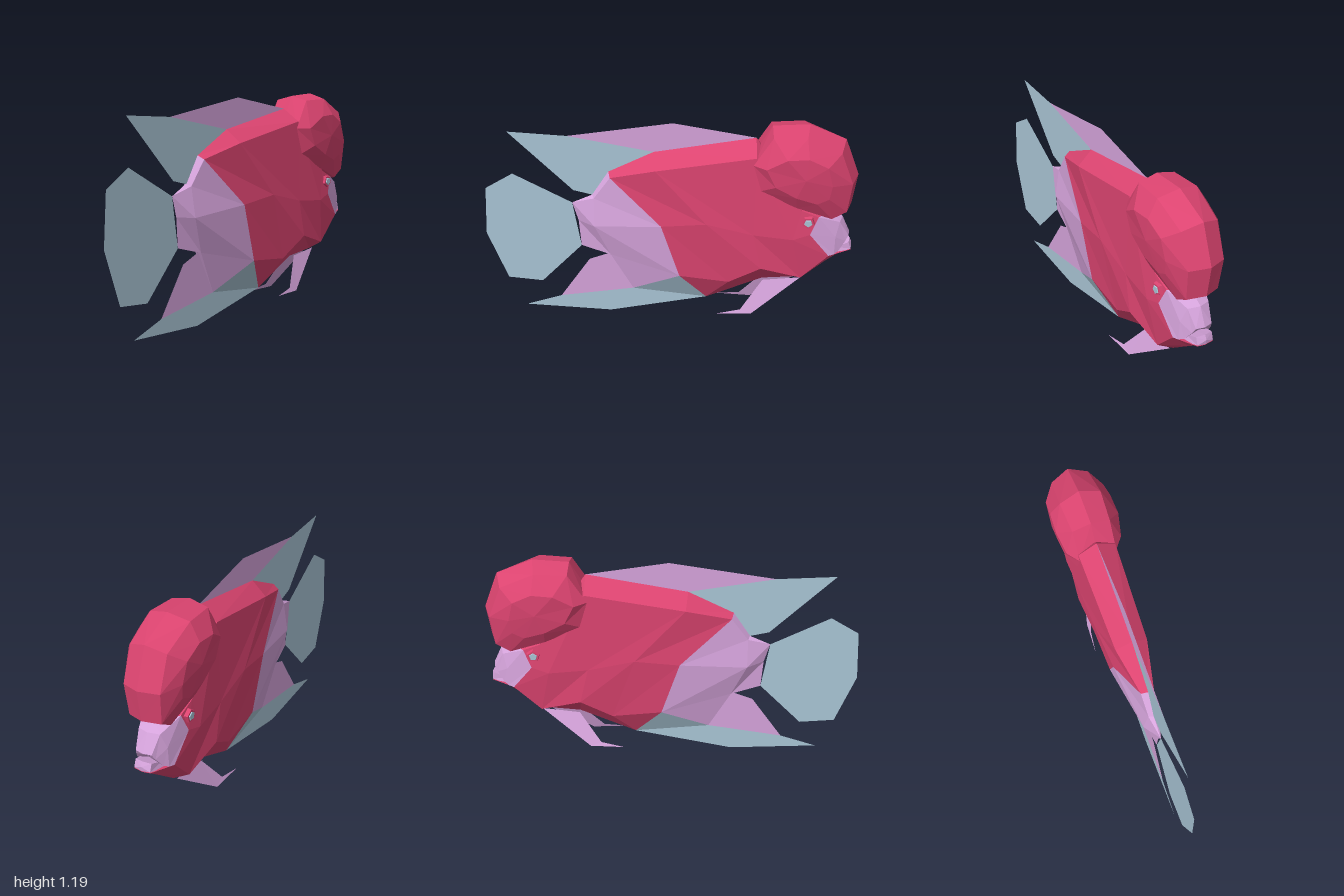
import * as THREE from 'three';

const mat = (name, color, side = THREE.DoubleSide) => {
  const m = new THREE.MeshStandardMaterial({ color, side, flatShading: true });
  m.name = name;
  return m;
};

// Skins neighbouring rows of points on the +z half and mirrors them to -z
function skin(name, rows, material) {
  const pos = [];
  const tri = (a, b, c) => {
    const [A, B, C] = [a, b, c].map(p => new THREE.Vector3(...p));
    if (B.clone().sub(A).cross(C.clone().sub(A)).length() < 1e-6) return;
    pos.push(...a, ...b, ...c);
    for (const p of [a, c, b]) pos.push(p[0], p[1], -p[2]);
  };
  for (let i = 0; i < rows.length - 1; i++) {
    const r = rows[i], s = rows[i + 1];
    for (let j = 0; j < r.length - 1; j++) {
      tri(r[j], r[j + 1], s[j + 1]);
      tri(r[j], s[j + 1], s[j]);
    }
  }
  const g = new THREE.BufferGeometry();
  g.setAttribute('position', new THREE.Float32BufferAttribute(pos, 3));
  g.computeVertexNormals();
  const mesh = new THREE.Mesh(g, material);
  mesh.name = name;
  return mesh;
}

// Flat fin in the plane z = 0
function fin(name, outline, material) {
  const shape = new THREE.Shape(outline.map(p => new THREE.Vector2(...p)));
  const mesh = new THREE.Mesh(new THREE.ShapeGeometry(shape), material);
  mesh.name = name;
  return mesh;
}

export function createModel() {
  const model = new THREE.Group();
  model.name = 'fish';
  const red = mat('crimson', 0xdc4470);
  const lilac = mat('lilac', 0xd6a4dc);
  const blue = mat('pale blue', 0xaac6d6);

  // Body: slanted half sections from the tail boundary to the face
  const rear = [[-0.32, 0.9, 0], [-0.31, 0.88, 0.035], [-0.04, 0.62, 0.09], [0.06, 0.3, 0.08], [0.21, 0.11, 0]];
  const face = [[0.87, 0.69, 0], [0.79, 0.7, 0.1], [0.75, 0.6, 0.115], [0.86, 0.46, 0.1], [0.86, 0.365, 0]];
  model.add(skin('body', [
    rear,
    [[-0.08, 1.02, 0], [-0.07, 0.95, 0.085], [0.2, 0.65, 0.11], [0.33, 0.27, 0.085], [0.21, 0.11, 0]],
    [[0.45, 1.11, 0], [0.45, 1.04, 0.1], [0.45, 0.59, 0.113], [0.5, 0.38, 0.115], [0.52, 0.245, 0]],
    [[0.66, 0.8, 0], [0.7, 0.74, 0.105], [0.66, 0.57, 0.122], [0.72, 0.31, 0.09], [0.73, 0.26, 0]],
    face,
  ], red));

  // Tail stalk narrows to an edge
  model.add(skin('tailStalk', [
    [[-0.52, 0.71, 0], [-0.52, 0.71, 0], [-0.49, 0.6, 0], [-0.48, 0.44, 0], [-0.48, 0.44, 0]],
    [[-0.41, 0.76, 0], [-0.4, 0.75, 0.025], [-0.4, 0.59, 0.05], [-0.32, 0.395, 0.02], [-0.32, 0.395, 0]],
    [...rear.slice(0, 4), [-0.2, 0.16, 0]],
  ], lilac));
  model.add(skin('analFinRoot', [[rear[3], [-0.2, 0.16, 0]], [rear[3], rear[4]]], blue));

  // Forehead hump: loops growing from the side centre to the middle ridge
  const loops = [
    Array(9).fill([0.7, 0.95, 0.168]),
    [[0.5, 1, 0.15], [0.6, 1.065, 0.17], [0.71, 1.07, 0.165], [0.81, 1.02, 0.16], [0.84, 0.91, 0.15],
      [0.83, 0.83, 0.14], [0.77, 0.8, 0.14], [0.66, 0.84, 0.152], [0.55, 0.9, 0.15]],
    [[0.435, 1, 0.1], [0.53, 1.155, 0.1], [0.7, 1.16, 0.11], [0.88, 1.075, 0.1], [0.95, 0.9, 0.1],
      [0.935, 0.73, 0.09], [0.86, 0.685, 0.09], [0.67, 0.76, 0.11], [0.47, 0.85, 0.1]],
    [[0.43, 1, 0], [0.53, 1.18, 0], [0.72, 1.19, 0], [0.91, 1.11, 0], [0.99, 0.91, 0],
      [0.97, 0.74, 0], [0.87, 0.67, 0], [0.66, 0.74, 0], [0.47, 0.84, 0]],
  ];
  model.add(skin('foreheadHump', loops.map(l => [...l, l[0]]), red));

  // Snout with upper lip
  const lip = [[0.975, 0.56, 0], [0.965, 0.56, 0.045], [0.95, 0.53, 0.055], [0.915, 0.48, 0.075], [0.92, 0.51, 0]];
  model.add(skin('snout', [
    [...face.slice(0, 4), [0.86, 0.47, 0]],
    [[0.93, 0.655, 0], [0.91, 0.65, 0.06], [0.89, 0.57, 0.085], [0.89, 0.465, 0.09], [0.9, 0.5, 0]],
    lip,
    Array(5).fill([0.945, 0.535, 0]),
  ], lilac));

  // Lower jaw and lip
  model.add(skin('lowerJaw', [
    [[0.86, 0.46, 0], face[3], face[4]],
    [[0.98, 0.475, 0], [0.985, 0.47, 0.045], [0.985, 0.462, 0]],
  ], red));
  model.add(skin('lowerLip', [
    [[0.9, 0.49, 0], [0.9, 0.49, 0.055], [0.9, 0.455, 0.065], [0.9, 0.45, 0]],
    [[0.98, 0.52, 0], [0.97, 0.515, 0.045], [0.985, 0.475, 0.045], [0.99, 0.47, 0]],
    Array(4).fill([0.992, 0.495, 0]),
  ], lilac));

  // Eyes: pentagonal socket with a pale iris
  for (const s of [1, -1]) {
    const eye = new THREE.Group();
    eye.name = s > 0 ? 'frontEye' : 'backEye';
    [['eyeSocket', 0.042, 0.03, red, 0.108], ['iris', 0.026, 0.012, blue, 0.122]].forEach(([name, r, h, m, z]) => {
      const disc = new THREE.Mesh(new THREE.CylinderGeometry(r * 0.8, r, h, 5), m);
      disc.name = name;
      disc.rotation.x = s * Math.PI / 2;
      disc.position.set(0.735, 0.675, s * z);
      eye.add(disc);
    });
    model.add(eye);
  }

  // Middle fins, lilac near the body and blue at the tips
  model.add(
    fin('dorsalFin', [[0.45, 1.11], [0.02, 1.185], [-0.53, 1.105], [-0.08, 1.02]], lilac),
    fin('dorsalFinTip', [[-0.53, 1.105], [-0.84, 1.125], [-0.51, 0.785], [-0.41, 0.76], [-0.32, 0.9], [-0.08, 1.02]], blue),
    fin('analFin', [[-0.2, 0.16], [-0.61, 0.1], [-0.44, 0.35], [-0.32, 0.395]], lilac),
    fin('analFinTip', [[0.21, 0.11], [-0.33, 0.005], [-0.81, 0.035], [-0.61, 0.1], [-0.2, 0.16]], blue),
    fin('tailFin', [[-0.52, 0.71], [-0.83, 0.88], [-0.98, 0.79], [-1, 0.51], [-0.9, 0.22], [-0.71, 0.2], [-0.48, 0.44]], blue),
  );

  // Pelvic fins splay outwards as they drop
  model.add(skin('pelvicFins', [
    [[0.52, 0.25, 0.03], [0.4, 0.085, 0.085], [0.27, 0.065, 0.1]],
    [[0.73, 0.265, 0.02], [0.46, 0.06, 0.09], [0.46, 0.06, 0.09]],
  ], lilac));

  return model;
}
